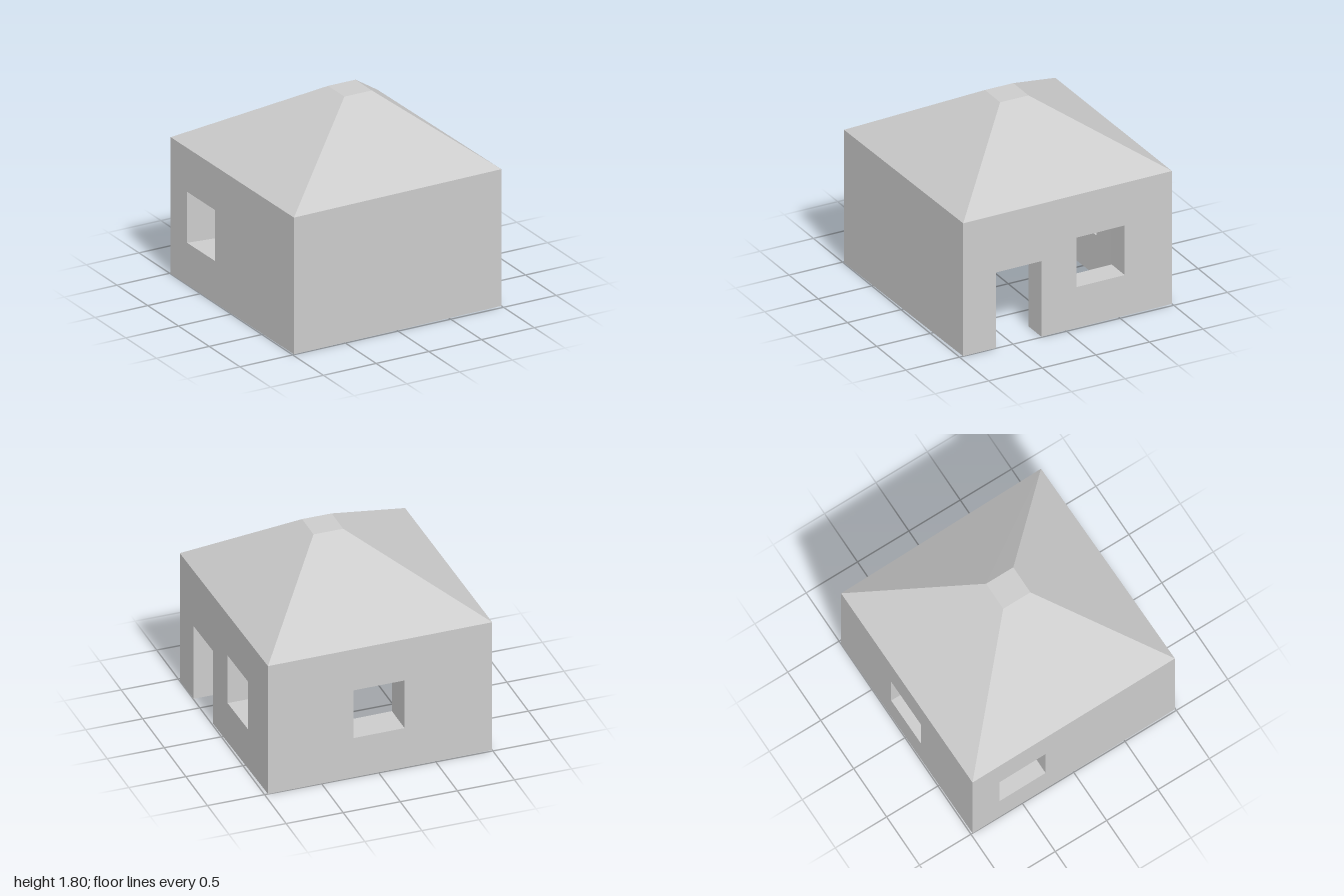
import * as THREE from 'three';

const EAVE = 1.215, TOP = 1.8;            // outer heights
const INNER_EAVE = 1.1, INNER_TOP = 1.58; // heights of the hollow inside

// Plan corners [x, z]: front left, front right, back right, back left
const outer = [[-0.985, 0.995], [1, 0.965], [0.97, -1], [-1, -0.985]];
const inner = [[-0.7, 0.73], [0.78, 0.7], [0.75, -0.71], [-0.72, -0.69]];
const outerTop = [[-0.04, 0.195], [0.22, 0.195], [0.22, -0.07], [-0.04, -0.07]];
const innerTop = [[0, 0.15], [0.18, 0.15], [0.18, -0.03], [0, -0.03]];

const SILL = 0.372, HEAD = 0.825, DOOR = 0.69;

// Walls run counterclockwise; dir is the axis [x, z] along which u is measured
const walls = [
  { name: 'frontWall', dir: [1, 0] },
  { name: 'doorWall', dir: [0, -1], door: [-0.655, -0.23], window: [0.1, 0.555] },
  { name: 'backWall', dir: [-1, 0], window: [-0.22, 0.23] },
  { name: 'sideWall', dir: [0, 1], window: [-0.72, -0.27] },
];

// Extrudes a wall outline with its openings, then bends it onto the mitred plan
function wallGeometry(i, { dir, door, window: win }) {
  const j = (i + 1) % 4;
  const along = (p) => p[0] * dir[0] + p[1] * dir[1];
  const u0 = along(outer[i]), u1 = along(outer[j]);

  const pts = [[u0, 0]];
  if (door) pts.push([door[0], 0], [door[0], DOOR], [door[1], DOOR], [door[1], 0]);
  pts.push([u1, 0], [u1, EAVE], [u0, EAVE]);
  const shape = new THREE.Shape(pts.map((p) => new THREE.Vector2(...p)));
  if (win) {
    const [a, b] = win;
    const hole = [[a, SILL], [a, HEAD], [b, HEAD], [b, SILL]];
    shape.holes.push(new THREE.Path(hole.map((p) => new THREE.Vector2(...p))));
  }

  const geo = new THREE.ExtrudeGeometry(shape, { depth: 1, bevelEnabled: false });
  const pos = geo.attributes.position;
  for (let k = 0; k < pos.count; k++) {
    const u = pos.getX(k), y = pos.getY(k), outside = pos.getZ(k) > 0.5;
    const plan = outside ? outer : inner;
    const a = plan[i], b = plan[j];
    let t = (u - along(a)) / (along(b) - along(a));
    if (u < u0 + 1e-4) t = 0;
    else if (u > u1 - 1e-4) t = 1;
    else t = THREE.MathUtils.clamp(t, 0.005, 0.995);
    pos.setXYZ(
      k,
      a[0] + (b[0] - a[0]) * t,
      !outside && y > EAVE - 1e-4 ? INNER_EAVE : y,
      a[1] + (b[1] - a[1]) * t,
    );
  }
  geo.computeVertexNormals();
  return geo;
}

// Four slopes between two loops plus the flat cap; inward flips the faces
function hipGeometry(low, lowY, high, highY, inward) {
  const verts = [];
  for (const [x, z] of low) verts.push(x, lowY, z);
  for (const [x, z] of high) verts.push(x, highY, z);
  const index = [];
  const quad = (a, b, c, d) =>
    inward ? index.push(a, c, b, a, d, c) : index.push(a, b, c, a, c, d);
  for (let i = 0; i < 4; i++) {
    const j = (i + 1) % 4;
    quad(i, j, 4 + j, 4 + i);
  }
  quad(4, 5, 6, 7);
  const indexed = new THREE.BufferGeometry();
  indexed.setAttribute('position', new THREE.Float32BufferAttribute(verts, 3));
  indexed.setIndex(index);
  const geo = indexed.toNonIndexed();
  geo.computeVertexNormals();
  return geo;
}

export function createModel() {
  const house = new THREE.Group();
  house.name = 'house';
  const material = new THREE.MeshStandardMaterial({ color: 0xcccccc, flatShading: true });
  const add = (name, geometry) => {
    const mesh = new THREE.Mesh(geometry, material);
    mesh.name = name;
    house.add(mesh);
  };

  // Thick walls with door and windows
  walls.forEach((wall, i) => add(wall.name, wallGeometry(i, wall)));

  // Hipped roof with a small flat top, hollow underneath
  add('roof', hipGeometry(outer, EAVE, outerTop, TOP, false));
  add('roofUnderside', hipGeometry(inner, INNER_EAVE, innerTop, INNER_TOP, true));

  return house;
}
